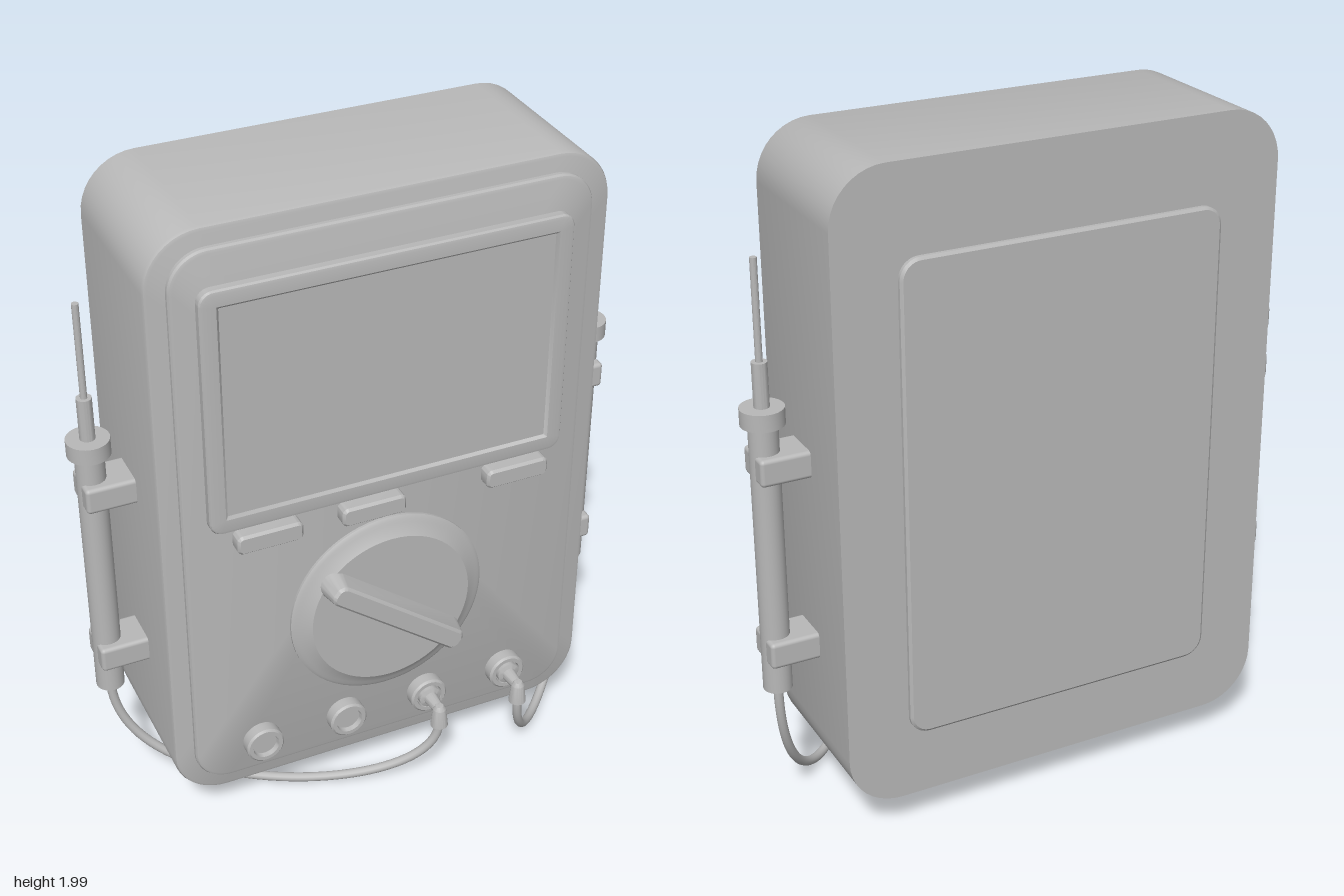
import * as THREE from 'three';
import { toCreasedNormals } from 'three/addons/utils/BufferGeometryUtils.js';
import { RoundedBoxGeometry } from 'three/addons/geometries/RoundedBoxGeometry.js';

const grey = new THREE.MeshStandardMaterial({ color: 0xb8b8b8 });
grey.name = 'plain grey';

function add(parent, name, geometry, x = 0, y = 0, z = 0) {
  const mesh = new THREE.Mesh(geometry, grey);
  mesh.name = name;
  mesh.position.set(x, y, z);
  parent.add(mesh);
  return mesh;
}

// Outline of a rounded rectangle, counter-clockwise seen from +z
function outline(w, h, r, inset) {
  const steps = 10;
  const a = w / 2 - inset, b = h / 2 - inset, c = Math.max(r - inset, 0.003);
  const points = [];
  [[1, 1], [-1, 1], [-1, -1], [1, -1]].forEach(([sx, sy], q) => {
    for (let i = 0; i <= steps; i++) {
      const t = (q + i / steps) * Math.PI / 2;
      points.push([sx * (a - c) + c * Math.cos(t), sy * (b - c) + c * Math.sin(t)]);
    }
  });
  return points;
}

// Capped slab through rounded rectangles given as [z, inset], back to front
function slab(w, h, r, sections) {
  const pos = [], index = [];
  const rings = sections.map(([z, inset]) => outline(w, h, r, inset).map(([x, y]) => [x, y, z]));
  const n = rings[0].length;
  rings.forEach(ring => ring.forEach(p => pos.push(...p)));
  for (let k = 0; k + 1 < rings.length; k++) {
    for (let i = 0; i < n; i++) {
      const j = (i + 1) % n, a = k * n, b = a + n;
      index.push(a + i, a + j, b + j, a + i, b + j, b + i);
    }
  }
  const back = pos.length / 3, front = back + 1, last = (rings.length - 1) * n;
  pos.push(0, 0, sections[0][0], 0, 0, sections[sections.length - 1][0]);
  for (let i = 0; i < n; i++) {
    const j = (i + 1) % n;
    index.push(back, j, i, front, last + i, last + j);
  }
  const g = new THREE.BufferGeometry();
  g.setAttribute('position', new THREE.Float32BufferAttribute(pos, 3));
  g.setIndex(index);
  return toCreasedNormals(g, 0.5);
}

// Turned part along y from [radius, height] points
function turned(points, sides = 32) {
  return toCreasedNormals(new THREE.LatheGeometry(points.map(p => new THREE.Vector2(...p)), sides), 0.5);
}

// Turned part with its axis along +z
const turnedForward = (points, sides) => turned(points, sides).rotateX(Math.PI / 2);

// Test lead: probe, two clips, elbow plug and hanging cable
function testLead(side, jackX) {
  const lead = new THREE.Group();
  lead.name = side > 0 ? 'leftTestLead' : 'rightTestLead';
  const px = side * 0.777, pz = -0.065, jackY = 0.285;

  add(lead, 'probeHandle', turned([[0, 0.43], [0.042, 0.43], [0.042, 1.25], [0, 1.25]], 24), px, 0, pz);
  add(lead, 'fingerGuard', turned([[0, 1.25], [0.062, 1.25], [0.062, 1.3], [0, 1.3]]), px, 0, pz);
  add(lead, 'probeCollar', turned([[0, 1.3], [0.022, 1.3], [0.022, 1.43], [0, 1.43]], 20), px, 0, pz);
  add(lead, 'probeTip', turned([[0, 1.43], [0.01, 1.43], [0.01, 1.72], [0, 1.72]], 16), px, 0, pz);
  for (const y of [0.565, 1.13]) {
    add(lead, 'probeClip', new RoundedBoxGeometry(0.16, 0.08, 0.13, 3, 0.012), side * 0.733, y, pz);
  }

  add(lead, 'plug', turnedForward([[0, 0.2], [0.035, 0.2], [0.035, 0.245], [0.022, 0.25], [0.016, 0.31], [0, 0.31]], 20), jackX, jackY, 0);
  add(lead, 'plugBoot', turned([[0, 0.228], [0.027, 0.228], [0.02, 0.29], [0.012, 0.302], [0, 0.304]], 20), jackX, 0, 0.308);
  const path = new THREE.CubicBezierCurve3(
    new THREE.Vector3(jackX, 0.235, 0.308),
    new THREE.Vector3(jackX, -0.076, 0.308),
    new THREE.Vector3(px, -0.076, pz),
    new THREE.Vector3(px, 0.435, pz));
  add(lead, 'cable', new THREE.TubeGeometry(path, 56, 0.014, 12));
  return lead;
}

export function createModel() {
  const model = new THREE.Group();
  model.name = 'multimeter';

  // Case, front panel and back cover
  add(model, 'case', slab(1.34, 1.88, 0.16, [[-0.315, 0], [0.168, 0], [0.177, 0.004], [0.18, 0.012]]), 0, 1.06);
  add(model, 'frontPanel', slab(1.22, 1.77, 0.11, [[0.17, 0], [0.191, 0], [0.198, 0.004], [0.201, 0.012]]), 0, 1.06);
  add(model, 'backCover', slab(0.97, 1.42, 0.06, [[-0.332, 0.008], [-0.326, 0], [-0.3, 0]]), 0, 1.035);

  // Raised display frame with a shallow recessed screen
  add(model, 'display', slab(1.08, 0.755, 0.04,
    [[0.19, 0], [0.222, 0], [0.228, 0.004], [0.23, 0.012], [0.23, 0.046], [0.222, 0.054]]), 0, 1.463);

  // Buttons
  for (const x of [-0.37, -0.055, 0.397]) {
    add(model, 'button', slab(0.196, 0.06, 0.018, [[0.19, 0], [0.237, 0], [0.245, 0.007]]), x, 1.04);
  }

  // Rotary dial and its pointer grip
  add(model, 'dial', turnedForward(
    [[0.305, 0.19], [0.305, 0.209], [0.295, 0.216], [0.285, 0.218], [0.25, 0.24], [0, 0.24]], 64), 0, 0.675);
  const grip = add(model, 'dialGrip',
    slab(0.53, 0.09, 0.04, [[0.23, 0], [0.296, 0.012], [0.304, 0.02]]), 0, 0.677);
  grip.rotation.z = -0.655;

  // Input jacks
  for (const x of [-0.405, -0.135, 0.133, 0.402]) {
    add(model, 'jack', turnedForward(
      [[0.059, 0.19], [0.059, 0.234], [0.053, 0.24], [0.041, 0.24], [0.038, 0.225], [0, 0.225]], 32), x, 0.285);
  }

  model.add(testLead(-1, 0.133), testLead(1, 0.402));
  return model;
}
